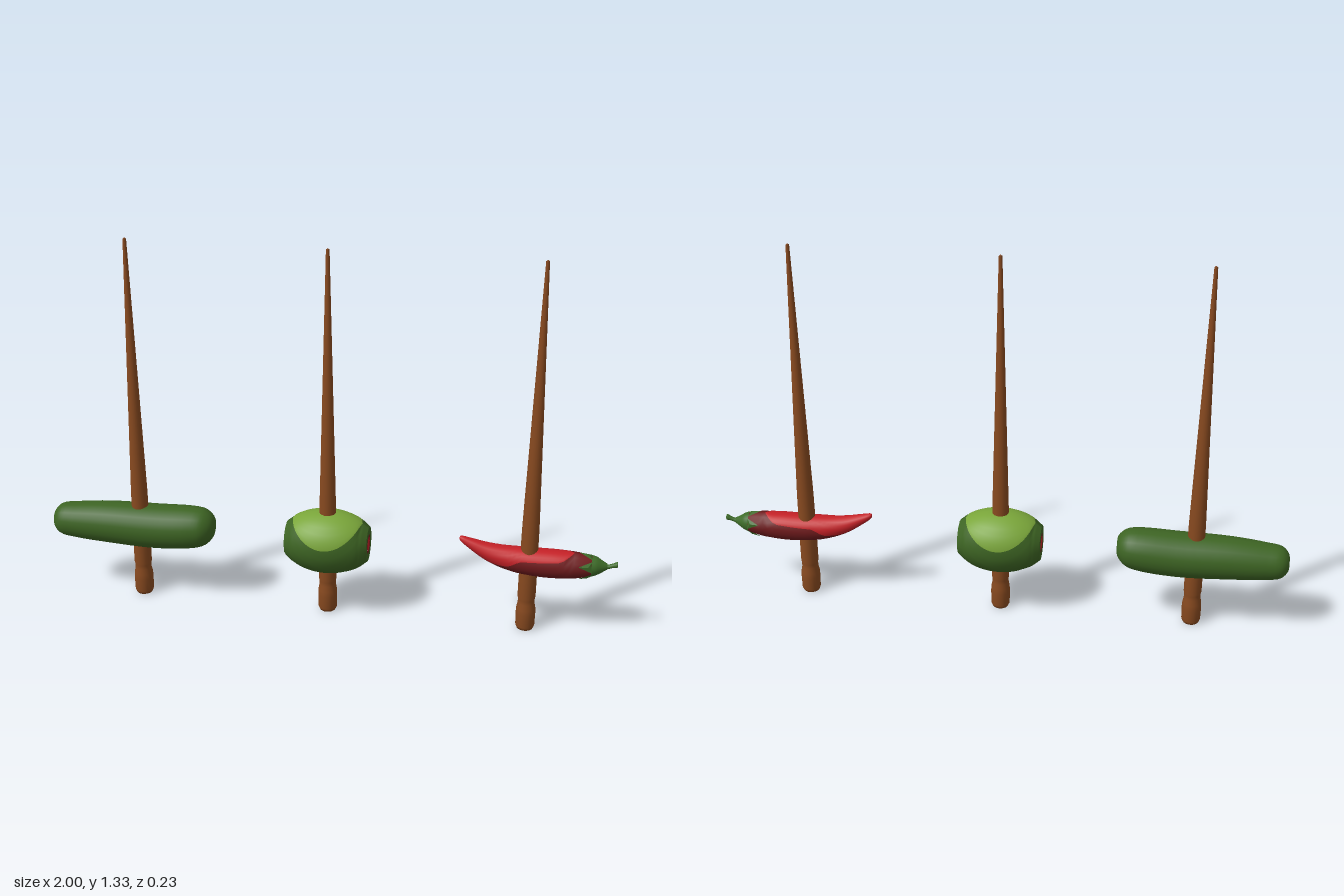
import * as THREE from 'three';

const paint = (name, color) => {
  const m = new THREE.MeshStandardMaterial({ color });
  m.name = name;
  return m;
};

// Smooth body along x from sections [x, centreY, radius].
// splitAngle(x) is the half angle, measured from the top, covered by the upper colour.
function loft(sections, splitAngle, upper, lower) {
  const half = 12, cols = half * 2, steps = 4;
  const rows = new THREE.CatmullRomCurve3(sections.map(s => new THREE.Vector3(...s)))
    .getPoints(steps * (sections.length - 1));
  const pos = [], top = [], rest = [];
  const angles = rows.map(p => Math.max(0.01, splitAngle(p.x)));
  rows.forEach((p, i) => {
    const a = angles[i], r = Math.max(0.0005, p.z);
    for (let j = 0; j < cols; j++) {
      const t = j < half ? -a + 2 * a * j / half : a + (2 * Math.PI - 2 * a) * (j - half) / half;
      pos.push(p.x, p.y + r * Math.cos(t), r * Math.sin(t));
    }
  });
  for (let i = 0; i < rows.length - 1; i++) {
    for (let j = 0; j < cols; j++) {
      const k = (j + 1) % cols, a = i * cols + j, b = i * cols + k;
      const isTop = j < half && Math.max(angles[i], angles[i + 1]) > 0.02;
      (isTop ? top : rest).push(a, b, a + cols, b, b + cols, a + cols);
    }
  }
  const g = new THREE.BufferGeometry();
  g.setAttribute('position', new THREE.Float32BufferAttribute(pos, 3));
  g.setIndex([...top, ...rest]);
  g.addGroup(0, top.length, 0);
  g.addGroup(top.length, rest.length, 1);
  g.computeVertexNormals();
  return new THREE.Mesh(g, [upper, lower]);
}

// Straight-line interpolation through [x, value] pairs
function ramp(points, x) {
  for (let i = 1; i < points.length; i++) {
    const [x0, v0] = points[i - 1], [x1, v1] = points[i];
    if (x <= x1) return v0 + (v1 - v0) * Math.max(0, (x - x0) / (x1 - x0));
  }
  return points[points.length - 1][1];
}

export function createModel() {
  const wood = paint('wood brown', 0x87491f);
  const green = paint('dark green', 0x3d6423);
  const lime = paint('light green', 0x7aa63a);
  const red = paint('bright red', 0xc42026);
  const maroon = paint('dark red', 0x6f1a1c);
  const leaf = paint('stem green', 0x3d6b28);
  leaf.side = THREE.DoubleSide;

  const model = new THREE.Group();
  model.name = 'garnishPicks';
  const add = (parent, name, mesh) => {
    mesh.name = name;
    parent.add(mesh);
    return mesh;
  };

  // Tapered picks with a turned handle
  const profile = [[0, 0], [0.028, 0], [0.033, 0.012], [0.034, 0.06], [0.033, 0.08], [0.029, 0.1],
    [0.029, 0.115], [0.031, 0.125], [0.031, 0.2], [0.029, 0.4], [0.006, 1.325], [0, 1.33]]
    .map(p => new THREE.Vector2(...p));
  const pickGeometry = new THREE.LatheGeometry(profile, 20);
  [['picklePick', -0.68], ['olivePick', 0], ['chiliPick', 0.7]].forEach(([name, x]) => {
    add(model, name, new THREE.Mesh(pickGeometry, wood)).position.x = x;
  });

  // Pickle, slightly bent
  add(model, 'pickle', loft([
    [-1, 0.27, 0], [-0.998, 0.27, 0.03], [-0.975, 0.27, 0.055], [-0.92, 0.27, 0.065],
    [-0.8, 0.272, 0.075], [-0.62, 0.271, 0.08], [-0.48, 0.279, 0.075], [-0.44, 0.282, 0.064],
    [-0.412, 0.285, 0.035], [-0.41, 0.285, 0],
  ], () => Math.PI / 2, green, green));

  // Olive with a lighter top and cut ends
  const olive = new THREE.Group();
  olive.name = 'olive';
  model.add(olive);
  const oliveRadius = x => 0.114 * Math.sqrt(1 - (x / 0.172) ** 2);
  const oliveSections = [];
  for (let i = -5; i <= 5; i++) oliveSections.push([i * 0.029, 0.272, oliveRadius(i * 0.029)]);
  add(olive, 'oliveBody', loft(oliveSections, x =>
    Math.acos(Math.min(1, (0.016 + 4.5 * x * x) / oliveRadius(x))), lime, green));
  for (const side of [1, -1]) {
    const end = new THREE.Group();
    end.name = side > 0 ? 'leftOliveEnd' : 'rightOliveEnd';
    end.position.set(side * 0.145, 0.272, 0);
    end.rotation.y = side * Math.PI / 2;
    add(end, 'cutFace', new THREE.Mesh(new THREE.RingGeometry(0.034, 0.0615, 24), green));
    add(end, 'pimentoRim', new THREE.Mesh(new THREE.RingGeometry(0.025, 0.034, 24), maroon));
    add(end, 'pimento', new THREE.Mesh(new THREE.CircleGeometry(0.025, 20), red));
    olive.add(end);
  }

  // Chili: bright along the tip and top, dark underneath and at the stem
  const chili = new THREE.Group();
  chili.name = 'chili';
  model.add(chili);
  const split = [[0.46, 2.6], [0.56, 2.4], [0.63, 1.9], [0.67, 1.25], [0.8, 1.05], [0.83, 0.8], [0.85, 0]];
  add(chili, 'chiliBody', loft([
    [0.46, 0.328, 0], [0.463, 0.327, 0.008], [0.5, 0.309, 0.02], [0.55, 0.287, 0.031],
    [0.6, 0.273, 0.039], [0.66, 0.264, 0.046], [0.73, 0.26, 0.05], [0.8, 0.26, 0.05],
    [0.87, 0.262, 0.044], [0.92, 0.264, 0.032], [0.94, 0.265, 0.02], [0.942, 0.265, 0],
  ], x => ramp(split, x), red, maroon));

  // Leafy cap: a dome with five pointed leaves lying on the body
  add(chili, 'cap', loft([
    [0.912, 0.264, 0.037], [0.928, 0.265, 0.032], [0.945, 0.265, 0.022], [0.965, 0.266, 0.01],
  ], () => Math.PI / 2, leaf, leaf));
  const leaves = [];
  for (let i = 0; i < 5; i++) {
    const mid = i * Math.PI * 0.4;
    for (const [x, r, da] of [[0.914, 0.038, -0.55], [0.914, 0.038, 0.55], [0.868, 0.049, 0]]) {
      leaves.push(x, 0.263 + r * Math.cos(mid + da), r * Math.sin(mid + da));
    }
    // Raised middle keeps the leaf clear of the body
    const [a, b, c] = [leaves.slice(-9, -6), leaves.slice(-6, -3), leaves.slice(-3)];
    const m = [0.9, 0.263 + 0.043 * Math.cos(mid), 0.043 * Math.sin(mid)];
    leaves.splice(-9, 9, ...a, ...m, ...c, ...m, ...b, ...c, ...a, ...b, ...m);
  }
  const leafGeometry = new THREE.BufferGeometry();
  leafGeometry.setAttribute('position', new THREE.Float32BufferAttribute(leaves, 3));
  leafGeometry.computeVertexNormals();
  add(chili, 'capLeaves', new THREE.Mesh(leafGeometry, leaf));

  // Curved stem
  add(chili, 'stem', loft([
    [0.945, 0.265, 0.011], [0.965, 0.265, 0.008], [0.985, 0.272, 0.008],
    [0.998, 0.276, 0.01], [1, 0.276, 0],
  ], () => Math.PI / 2, leaf, leaf));

  return model;
}
